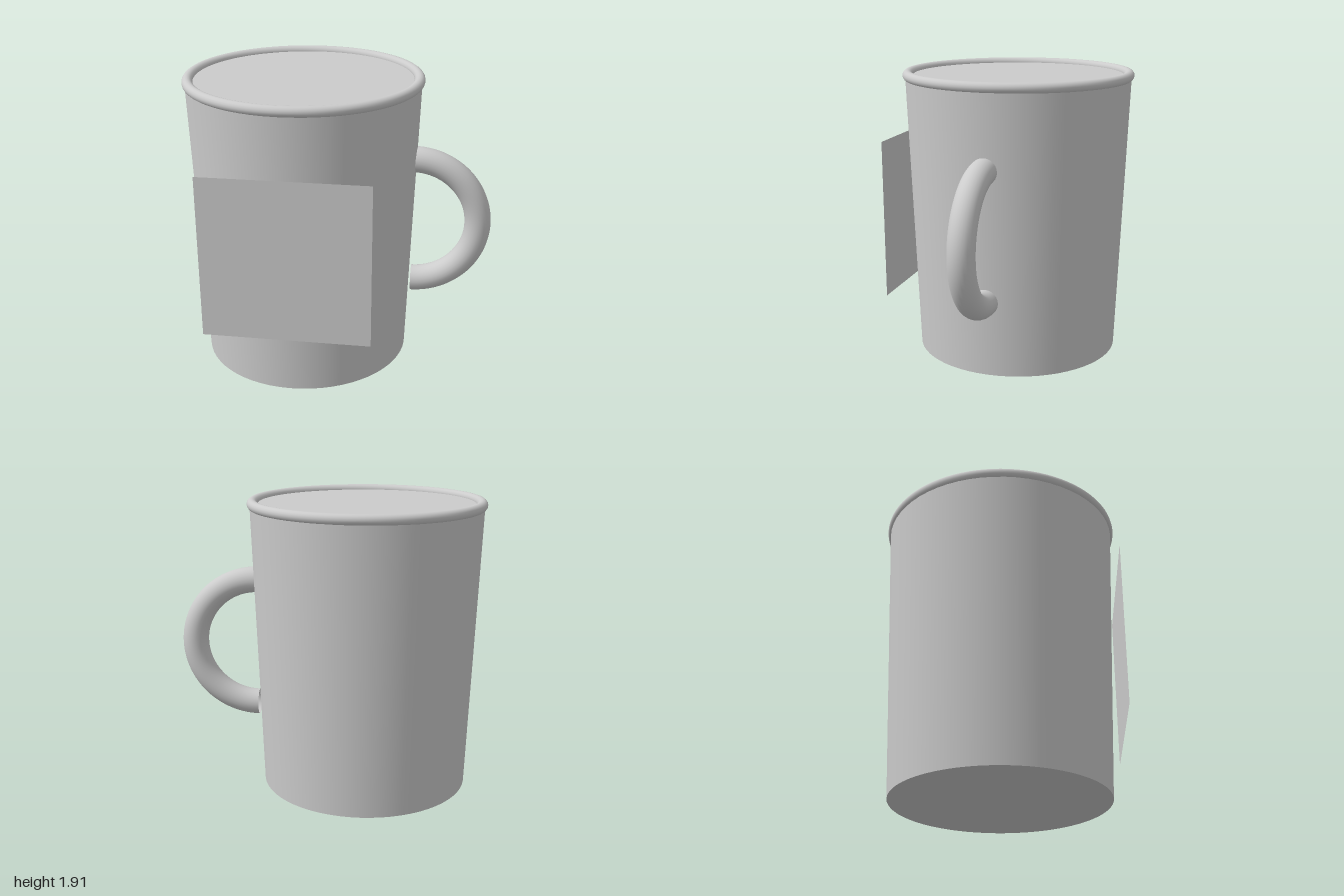
import * as THREE from 'three';

const CUP_X = -0.231;   // axis of the cup
const HEIGHT = 1.88;    // height of the tapered body
const MID_Y = HEIGHT / 2;

export function createModel() {
  const mug = new THREE.Group();
  mug.name = 'mug';
  const material = new THREE.MeshStandardMaterial({ color: 0xcccccc });
  const thin = new THREE.MeshStandardMaterial({ color: 0xcccccc, side: THREE.DoubleSide });

  const add = (name, geometry, mat, x, y, z = 0) => {
    const mesh = new THREE.Mesh(geometry, mat);
    mesh.name = name;
    mesh.position.set(x, y, z);
    mug.add(mesh);
    return mesh;
  };

  // Tapered body, closed at both ends
  add('body', new THREE.CylinderGeometry(0.752, 0.684, HEIGHT, 64), material, CUP_X, MID_Y);

  // Rounded rim around the top edge
  add('rim', new THREE.TorusGeometry(0.735, 0.034, 16, 96).rotateX(Math.PI / 2), material, CUP_X, HEIGHT);

  // Half-ring handle with open ends
  add('handle', new THREE.TorusGeometry(0.427, 0.0855, 24, 64, Math.PI).rotateZ(-Math.PI / 2), thin, 0.487, MID_Y);

  // Flat square panel in front of the body
  add('frontPanel', new THREE.PlaneGeometry(1.06, 1.06), thin, CUP_X, MID_Y, 0.769);

  return mug;
}
